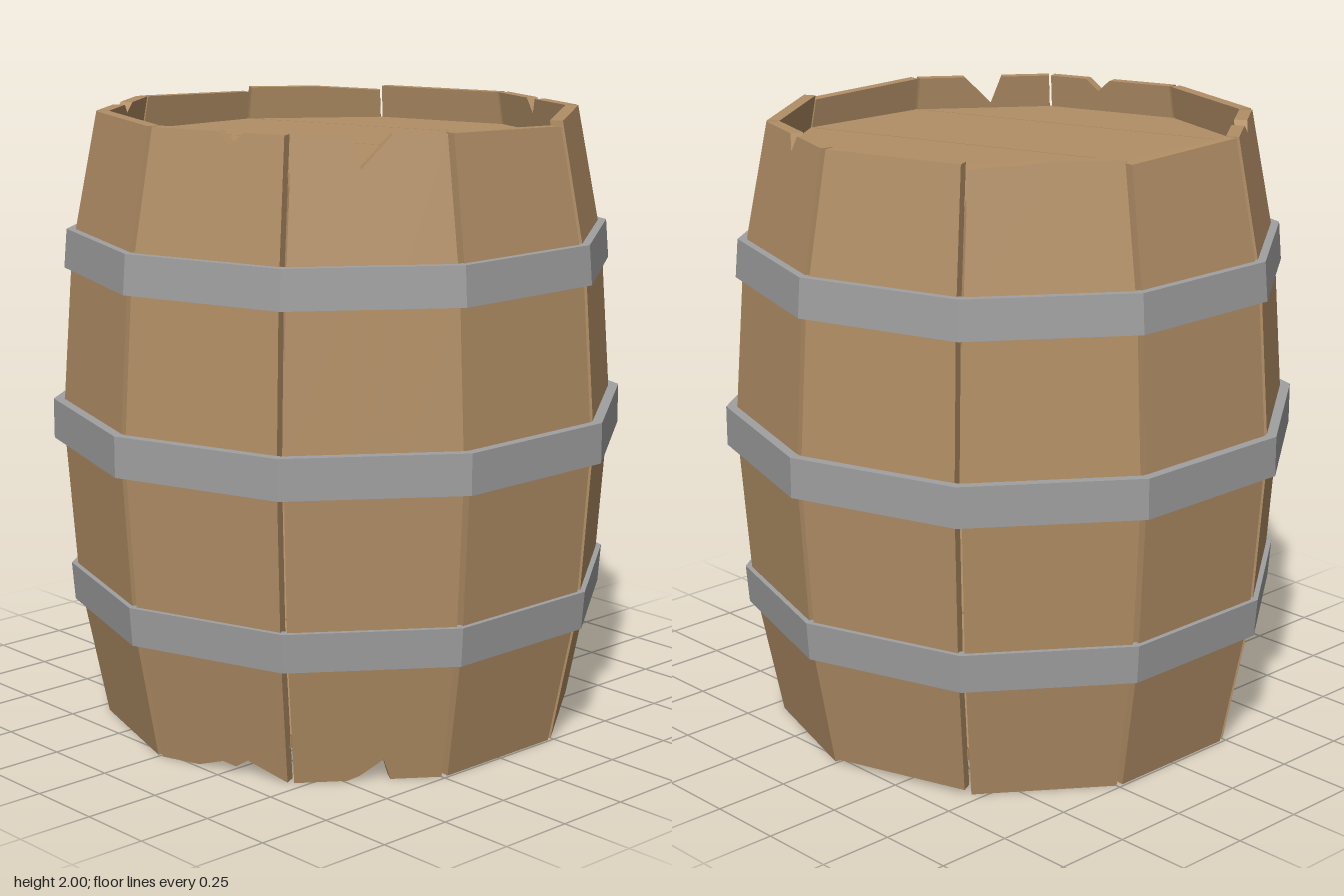
import * as THREE from 'three';

const SIDES = 10;
const STEP = (Math.PI * 2) / SIDES;
const THICK = 0.043;

// Bulging barrel outline: [height, corner radius]
const OUTLINE = [[0, 0.78], [0.45, 0.868], [1, 0.907], [1.55, 0.868], [2, 0.78]];

function radiusAt(y) {
  for (let i = 1; i < OUTLINE.length; i++) {
    const [y0, r0] = OUTLINE[i - 1], [y1, r1] = OUTLINE[i];
    if (y <= y1) return r0 + ((r1 - r0) * (y - y0)) / (y1 - y0);
  }
  return OUTLINE[OUTLINE.length - 1][1];
}

// Worn stave ends: stations of [position across, top height, bottom height]
const PLAIN = [[0, 2, 0], [1, 2, 0]];
const WORN = {
  0: [[0, 2, 0], [0.43, 2, 0], [0.49, 1.95, 0], [0.55, 2, 0], [1, 2, 0]],
  2: [[0, 1.985, 0], [1, 2, 0]],
  3: [[0, 2, 0], [0.35, 2, 0], [0.4, 1.977, 0.07], [0.56, 1.9, 0.015], [0.64, 2, 0], [1, 2, 0]],
  4: [[0, 2, 0], [0.3, 2, 0.05], [0.4, 1.96, 0.02], [0.5, 2, 0.03], [0.7, 2, 0], [1, 2, 0]],
  6: [[0, 2, 0], [0.4, 2, 0], [0.5, 1.97, 0], [0.6, 2, 0], [1, 2, 0]],
  7: [[0, 2, 0], [1, 1.985, 0]],
  8: [[0, 2, 0], [0.5, 2, 0], [1, 1.985, 0]],
  9: [[0, 2, 0.015], [1, 2, 0.015]],
};

// One bent board, built from rows of outer and inner points
function staveGeometry(index) {
  const stations = WORN[index] || PLAIN;
  const a0 = index * STEP, a1 = a0 + STEP;
  const pos = [];
  const quad = (a, b, c, d) => pos.push(...a, ...b, ...c, ...a, ...c, ...d);

  const point = (u, y, inner) => {
    const r = radiusAt(y) - (inner ? THICK : 0);
    const gap = (inner ? 0.004 : 0.011) / (r * 2 * Math.sin(STEP / 2));
    const t = gap + u * (1 - 2 * gap);
    return [
      r * (Math.cos(a0) * (1 - t) + Math.cos(a1) * t),
      y,
      r * (Math.sin(a0) * (1 - t) + Math.sin(a1) * t),
    ];
  };
  const columns = stations.map(([u, top, bottom]) => {
    const heights = [bottom, 0.45, 1, 1.55, top];
    return {
      out: heights.map((y) => point(u, y, false)),
      inn: heights.map((y) => point(u, y, true)),
    };
  });

  const last = OUTLINE.length - 1;
  for (let i = 0; i + 1 < columns.length; i++) {
    const p = columns[i], q = columns[i + 1];
    for (let j = 0; j < last; j++) {
      quad(q.out[j], p.out[j], p.out[j + 1], q.out[j + 1]);
      quad(p.inn[j], q.inn[j], q.inn[j + 1], p.inn[j + 1]);
    }
    quad(q.out[last], p.out[last], p.inn[last], q.inn[last]);
    quad(p.out[0], q.out[0], q.inn[0], p.inn[0]);
  }
  // Long side edges
  const s = columns[0], e = columns[columns.length - 1];
  for (let j = 0; j < last; j++) {
    quad(s.out[j], s.inn[j], s.inn[j + 1], s.out[j + 1]);
    quad(e.inn[j], e.out[j], e.out[j + 1], e.inn[j + 1]);
  }

  const geo = new THREE.BufferGeometry();
  geo.setAttribute('position', new THREE.Float32BufferAttribute(pos, 3));
  geo.computeVertexNormals();
  return geo;
}

// Ten-sided iron band
function hoopGeometry(y0, y1, r0, r1) {
  const profile = [[r0 - 0.035, y0], [r0, y0], [r1, y1], [r1 - 0.035, y1], [r0 - 0.035, y0]]
    .map(([r, y]) => new THREE.Vector2(r, y));
  const geo = new THREE.LatheGeometry(profile, SIDES, Math.PI / 2).toNonIndexed();
  geo.computeVertexNormals();
  return geo;
}

// Four planks running corner to corner across a ten-sided head
function buildHead(name, y, turn, material) {
  const head = new THREE.Group();
  head.name = name;
  const R = radiusAt(y) - THICK + 0.004;
  const plankCorners = [[1, 2, 3, 4], [0, 1, 4, 5], [5, 6, 9, 10], [6, 7, 8, 9]];
  for (const corners of plankCorners) {
    const pts = corners.map((k) => [R * Math.cos(k * STEP), R * Math.sin(k * STEP)]);
    const mid = pts.reduce((sum, p) => sum + p[1], 0) / pts.length;
    const shape = new THREE.Shape(pts.map(([x, v]) =>
      new THREE.Vector2(x, v + (v > mid ? -0.003 : 0.003)).rotateAround(new THREE.Vector2(), turn)));
    const geo = new THREE.ExtrudeGeometry(shape, { depth: 0.04, bevelEnabled: false });
    geo.rotateX(-Math.PI / 2);
    const plank = new THREE.Mesh(geo, material);
    plank.name = 'headPlank';
    plank.position.y = y - 0.02;
    head.add(plank);
  }
  return head;
}

export function createModel() {
  const wood = new THREE.MeshStandardMaterial({ color: 0xb28f66 });
  wood.name = 'wood';
  const iron = new THREE.MeshStandardMaterial({ color: 0xa0a0a0 });
  iron.name = 'iron';

  const barrel = new THREE.Group();
  barrel.name = 'barrel';

  for (let i = 0; i < SIDES; i++) {
    const stave = new THREE.Mesh(staveGeometry(i), wood);
    stave.name = 'stave';
    barrel.add(stave);
  }

  const hoops = [
    ['lowerHoop', 0.39, 0.515, 0.88, 0.89],
    ['middleHoop', 0.94, 1.07, 0.935, 0.935],
    ['upperHoop', 1.5, 1.625, 0.89, 0.88],
  ];
  for (const [name, y0, y1, r0, r1] of hoops) {
    const hoop = new THREE.Mesh(hoopGeometry(y0, y1, r0, r1), iron);
    hoop.name = name;
    barrel.add(hoop);
  }

  barrel.add(buildHead('topHead', 1.87, -2 * STEP, wood));
  barrel.add(buildHead('bottomHead', 0.13, 2 * STEP, wood));
  return barrel;
}
